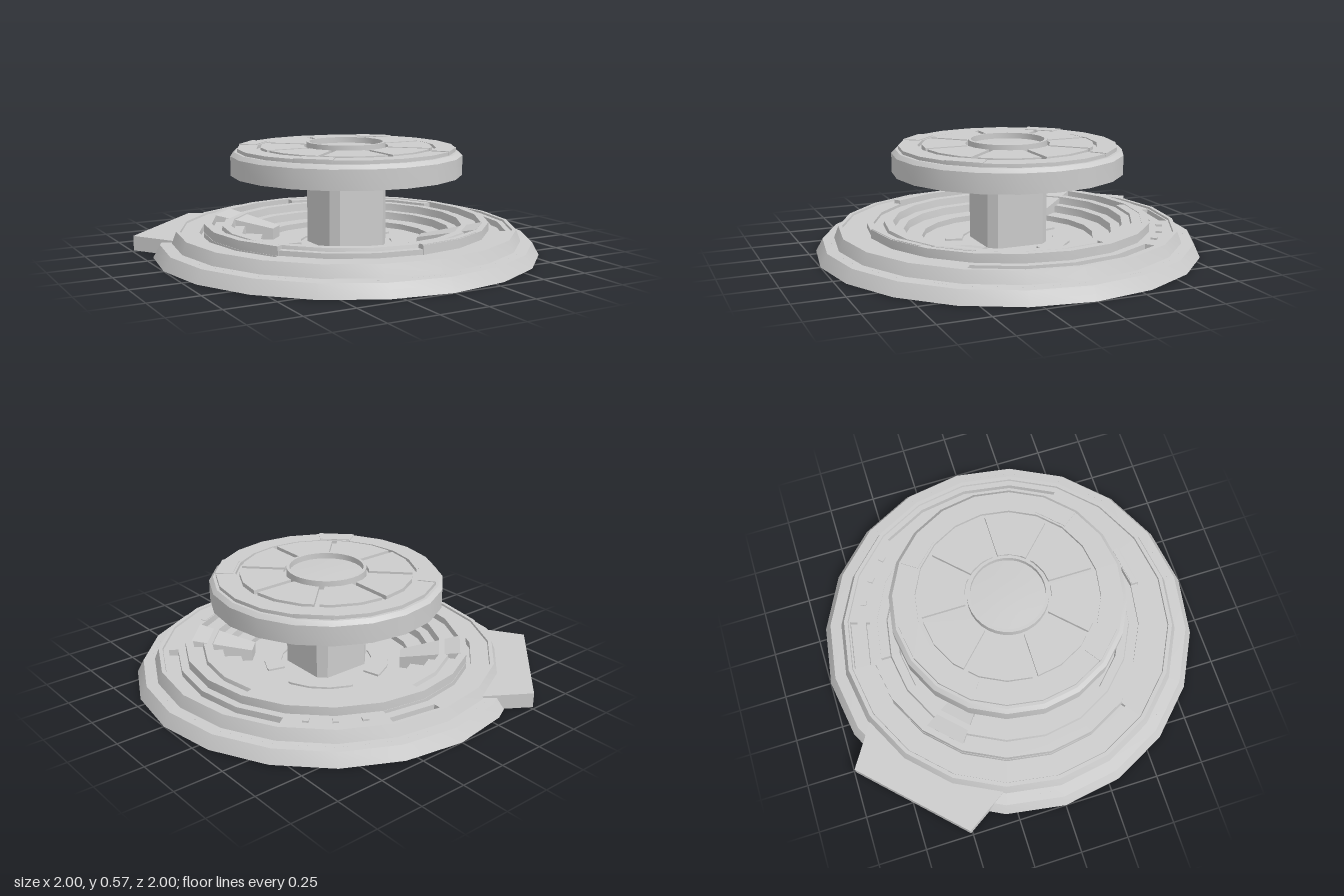
import * as THREE from 'three';
import { toCreasedNormals } from 'three/addons/utils/BufferGeometryUtils.js';

const SIDES = 20;
const DEG = Math.PI / 180;
const STEP = 360 / SIDES;

export function createModel() {
  const model = new THREE.Group();
  const grey = new THREE.MeshStandardMaterial({ color: 0xcccccc, side: THREE.DoubleSide });

  function add(name, geometry, parent = model) {
    const mesh = new THREE.Mesh(toCreasedNormals(geometry, 0.4), grey);
    mesh.name = name;
    parent.add(mesh);
    return mesh;
  }

  const vectors = points => points.map(p => new THREE.Vector2(...p));

  function lathe(name, points, sides = SIDES) {
    return add(name, new THREE.LatheGeometry(vectors(points), sides));
  }

  // Point on a regular polygon of radius r; angle 0 is the front (+z), 90 is +x
  function polar(r, angle) {
    const offset = (((angle % STEP) + STEP) % STEP) - STEP / 2;
    const k = r * Math.cos(STEP / 2 * DEG) / Math.cos(offset * DEG);
    return new THREE.Vector2(k * Math.sin(angle * DEG), -k * Math.cos(angle * DEG));
  }

  // Flat outline in plan, raised from y0 to y1
  function slab(shape, y0, y1) {
    return new THREE.ExtrudeGeometry(shape, { depth: y1 - y0, bevelEnabled: false })
      .rotateX(-Math.PI / 2).translate(0, y0, 0);
  }

  // Corners of a faceted ring segment; gap trims its ends parallel to the radial line
  function arcOutline(r0, r1, from, to, gap = 0) {
    const edge = r => {
      const trim = Math.asin(gap / r) / DEG;
      const a = from + trim, b = to - trim;
      const points = [polar(r, a)];
      for (let t = (Math.floor(a / STEP) + 1) * STEP; t < b - 0.01; t += STEP) points.push(polar(r, t));
      points.push(polar(r, b));
      return points;
    };
    return [...edge(r1), ...edge(r0).reverse()];
  }

  function arcBlock(name, r0, r1, y0, y1, from, to, gap = 0, parent = model) {
    return add(name, slab(new THREE.Shape(arcOutline(r0, r1, from, to, gap)), y0, y1), parent);
  }

  const ring = r => Array.from({ length: SIDES }, (_, i) => polar(r, i * STEP));

  // Outer skirt, open below, rolling over a lip
  lathe('skirt', [
    [1, 0], [0.965, 0.065], [0.905, 0.07], [0.882, 0.13], [0.862, 0.13], [0.858, 0.11],
  ]);

  // Deck with slots along the right side, the back and around the collar
  const deck = new THREE.Shape(ring(0.859));
  deck.holes.push(new THREE.Path(ring(0.69)));
  for (const slot of [[0.78, 0.83, 54, 126], [0.81, 0.85, 162, 180], [0.742, 0.765, 162, 306]]) {
    deck.holes.push(new THREE.Path(arcOutline(...slot)));
  }
  add('deck', slab(deck, 0.085, 0.12));
  lathe('slotFloor', [[0.88, 0.087], [0.68, 0.087]]);

  // Stepped bowl with a raised inner rim and its floor
  lathe('bowl', [
    [0.71, 0.13], [0.65, 0.13], [0.645, 0.15], [0.6, 0.15], [0.595, 0.11], [0.545, 0.11],
    [0.54, 0.07], [0.45, 0.07], [0.45, 0.04], [0, 0.04],
  ]);

  // Nearly flat underside with a shallow central recess
  lathe('underside', [
    [0.93, 0.068], [0.93, 0.025], [0.78, 0.025], [0.78, 0.02], [0.62, 0.02], [0.62, 0.015],
    [0.45, 0.015], [0.45, 0.022], [0, 0.022],
  ]);

  // Raised collar, lower in one front quarter and wider at the back
  arcBlock('collar', 0.70, 0.74, 0.115, 0.165, 0, 306);
  arcBlock('collarLow', 0.70, 0.735, 0.115, 0.145, 306, 360);
  arcBlock('collarShelf', 0.65, 0.702, 0.12, 0.162, 108, 180);
  arcBlock('frontStrip', 0.705, 0.735, 0.16, 0.168, 0, 32);

  // Small studs on the deck
  for (const angle of [154, 144, 134]) {
    const stud = add('stud', new THREE.BoxGeometry(0.03, 0.015, 0.03));
    stud.position.set(0.79 * Math.sin(angle * DEG), 0.122, 0.79 * Math.cos(angle * DEG));
    stud.rotation.y = angle * DEG;
  }

  // Pads on the bowl floor around the post
  for (let i = 0; i < 4; i++) arcBlock('floorPad', 0.24, 0.33, 0.035, 0.05, i * 90 + 15, i * 90 + 75);

  // Two tapered bridges from collar to floor, on opposite diagonals
  for (const angle of [45, 225]) {
    const geometry = new THREE.BoxGeometry(1, 1, 1);
    const p = geometry.attributes.position;
    for (let i = 0; i < p.count; i++) {
      const outer = p.getZ(i) > 0, top = p.getY(i) > 0;
      p.setXYZ(i, p.getX(i) * (outer ? 0.21 : 0.1),
        top ? (outer ? 0.167 : 0.1) : 0.01, outer ? 0.70 : 0.39);
    }
    add('bridge', geometry).rotation.y = angle * DEG;
  }

  // Landing tab projecting from the back corner, hollow below
  const tab = vectors([[-0.99, 0.51], [-0.85, 0.29], [-0.29, 0.85], [-0.51, 0.99]]);
  const tabWalls = new THREE.Shape(tab);
  const tabCentre = new THREE.Vector2(-0.66, 0.66);
  tabWalls.holes.push(new THREE.Path(tab.map(p => p.clone().lerp(tabCentre, 0.02))));
  add('tabWalls', slab(tabWalls, 0.003, 0.075));
  add('tabTop', slab(new THREE.Shape(tab), 0.072, 0.08));

  // Post: square with chamfered corners
  const w = 0.165, c = 0.125;
  add('post', slab(new THREE.Shape(vectors([
    [w, -c], [w, c], [c, w], [-c, w], [-w, c], [-w, -c], [-c, -w], [c, -w],
  ])), 0.015, 0.43));

  // Upper disc with bevelled edge, raised rim and shallow recess
  lathe('upperDisc', [
    [0, 0.41], [0.6, 0.41], [0.6, 0.51], [0.58, 0.53], [0.565, 0.53],
    [0.565, 0.548], [0.465, 0.548], [0.465, 0.53], [0, 0.53],
  ]);

  // Eight panels separated by narrow channels
  const panels = new THREE.Group();
  panels.name = 'topPanels';
  model.add(panels);
  for (let i = 0; i < 8; i++) arcBlock('panel', 0.22, 0.445, 0.525, 0.552, i * 45, i * 45 + 45, 0.014, panels);

  // Clips on the four diagonals of the disc edge
  for (let i = 0; i < 4; i++) arcBlock('edgeClip', 0.475, 0.567, 0.535, 0.552, i * 90 + 35, i * 90 + 55);

  // Round hub: raised rim around a shallow dish
  lathe('hub', [
    [0.205, 0.525], [0.205, 0.575], [0.19, 0.575], [0.19, 0.545], [0.1, 0.55], [0, 0.552],
  ], 32);

  return model;
}
